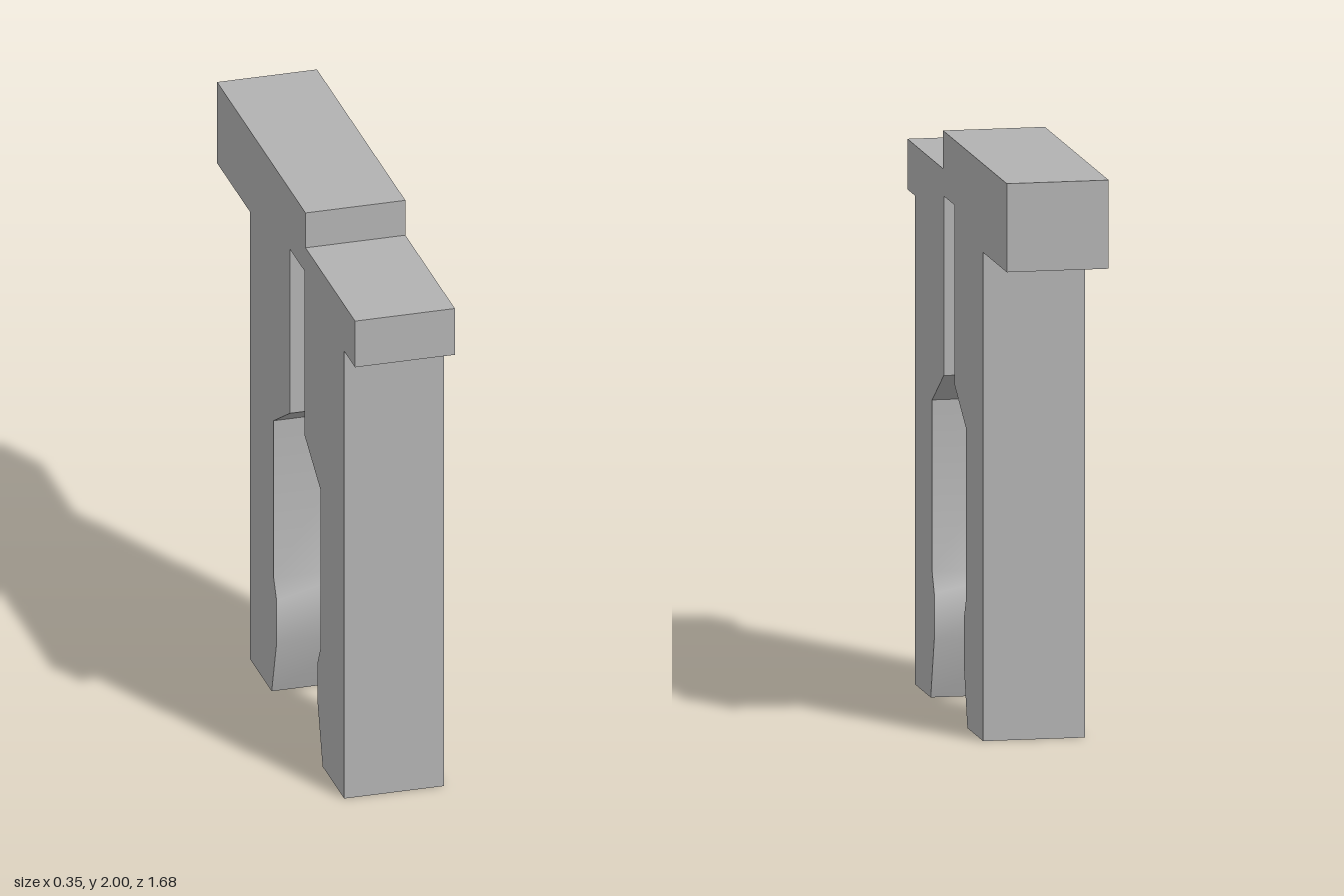
import * as THREE from 'three';
import { toCreasedNormals } from 'three/addons/utils/BufferGeometryUtils.js';

const WIDTH = 0.355;

// Inner edge of a leg from the foot up to the slot, as [distance from mid-gap, y]
const INNER_EDGE = [
  [0.31, 0], [0.25, 0.21], [0.25, 0.37], [0.286, 0.44],
  [0.286, 1.035], [0.09, 1.153], [0.09, 1.775],
];
const GAP_CENTRE = 0.135;

export function createModel() {
  const group = new THREE.Group();
  group.name = 'clip';
  const grey = new THREE.MeshStandardMaterial({ color: 0xb2b2b2 });
  grey.name = 'grey';

  // Side profile as [z, y]: stepped head bar with two mirrored gripping legs
  const frontInner = INNER_EDGE.map(([d, y]) => [GAP_CENTRE + d, y]);
  const backInner = INNER_EDGE.map(([d, y]) => [GAP_CENTRE - d, y]).reverse();
  const profile = [
    [-0.84, 2], [-0.84, 1.693], [-0.44, 1.693], [-0.44, 0],
    ...backInner.slice().reverse(),
    ...frontInner.slice().reverse(),
    [0.708, 0], [0.708, 1.693], [0.84, 1.693], [0.84, 1.868],
    [0.237, 1.868], [0.237, 2],
  ];
  const shape = new THREE.Shape(profile.map(([z, y]) => new THREE.Vector2(z, y)));

  // Extrude across the width; only the shallow bends of the grips are smoothed
  const extruded = new THREE.ExtrudeGeometry(shape, { depth: WIDTH, bevelEnabled: false });
  extruded.translate(0, 0, -WIDTH / 2);
  extruded.rotateY(-Math.PI / 2);
  const body = new THREE.Mesh(toCreasedNormals(extruded, 0.55), grey);
  body.name = 'clipBody';
  group.add(body);
  return group;
}
